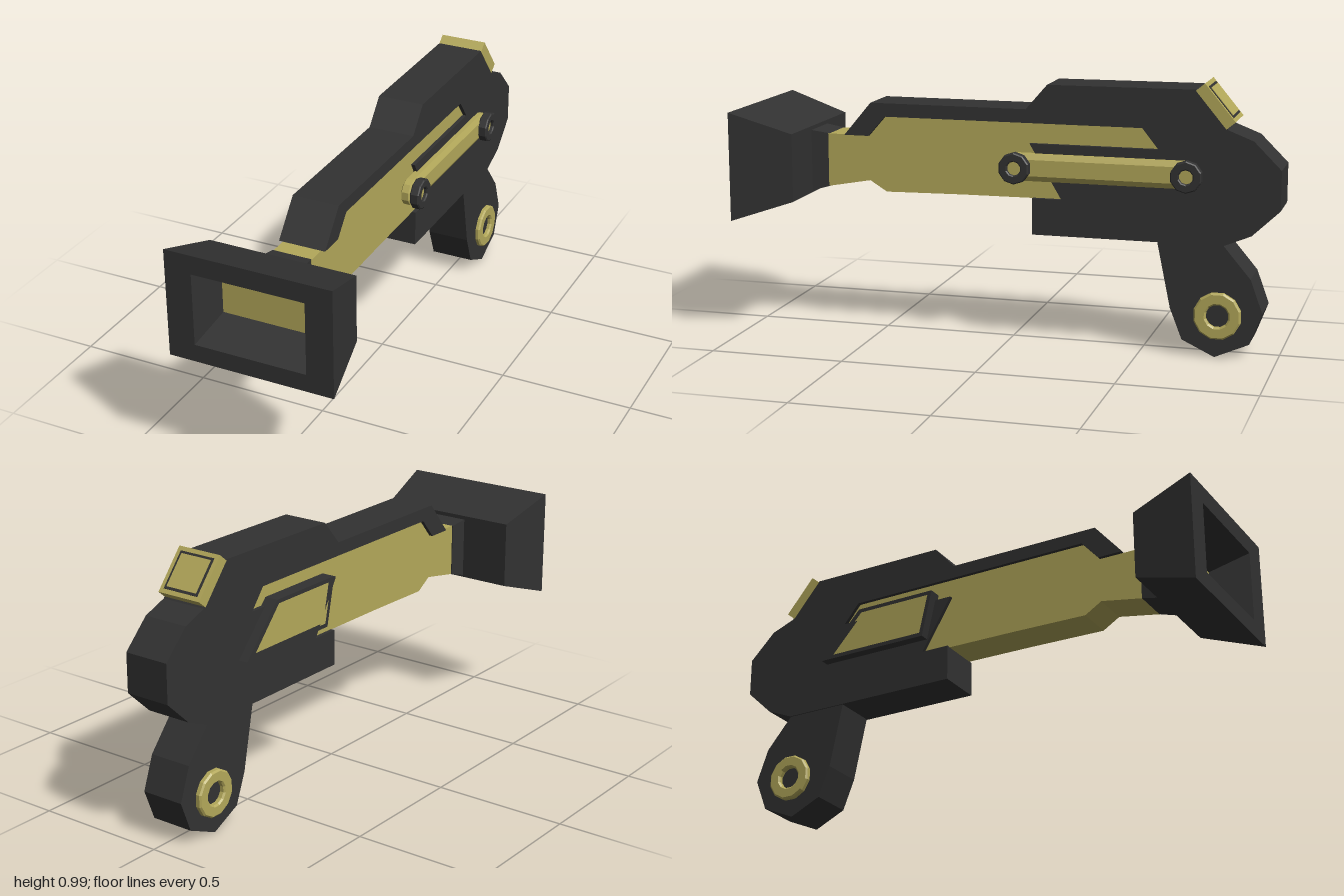
import * as THREE from 'three';

const dark = new THREE.MeshStandardMaterial({ color: 0x323232, flatShading: true });
const brass = new THREE.MeshStandardMaterial({ color: 0xb3a85a, flatShading: true });
const CX = 0.003; // body centre line

const outline = (pts) => new THREE.Shape(pts.map((p) => new THREE.Vector2(...p)));
const circle = (z, y, r, n) =>
  Array.from({ length: n }, (_, i) => {
    const a = ((i + 0.5) / n) * Math.PI * 2;
    return [z + r * Math.cos(a), y + r * Math.sin(a)];
  });

// Side profile given as (z, y) points, extruded across x from x0 to x1
function slab(pts, x0, x1, holes = [], bevel = 0, inset = bevel) {
  const shape = outline(pts);
  holes.forEach((h) => shape.holes.push(outline(h)));
  const geo = new THREE.ExtrudeGeometry(shape, {
    depth: x1 - x0 - 2 * bevel, bevelEnabled: bevel > 0, bevelThickness: bevel,
    bevelSize: inset, bevelOffset: -inset, bevelSegments: 1,
  });
  return geo.rotateY(-Math.PI / 2).translate(x1 - bevel, 0, 0);
}

// Rectangular sections [z, halfWidth, yBottom, yTop] joined in order, with end caps
function loft(sections) {
  const rings = sections.map(([z, w, a, b]) => [[-w, a, z], [w, a, z], [w, b, z], [-w, b, z]]);
  const pos = [];
  const quad = (a, b, c, d) => pos.push(...a, ...b, ...c, ...a, ...c, ...d);
  for (let s = 0; s < rings.length - 1; s++) {
    for (let i = 0; i < 4; i++) {
      const j = (i + 1) % 4;
      quad(rings[s][i], rings[s][j], rings[s + 1][j], rings[s + 1][i]);
    }
  }
  const [a, b, c, d] = rings[0];
  quad(d, c, b, a);
  quad(...rings[rings.length - 1]);
  const geo = new THREE.BufferGeometry();
  geo.setAttribute('position', new THREE.Float32BufferAttribute(pos, 3));
  geo.computeVertexNormals();
  return geo;
}

export function createModel() {
  const model = new THREE.Group();
  const add = (name, geo, mat, parent = model) => {
    const mesh = new THREE.Mesh(geo, mat);
    mesh.name = name;
    parent.add(mesh);
    return mesh;
  };

  // Dark receiver with a long notch that wraps the barrel
  add('body', slab([
    [0.63, 0.755], [0.525, 0.88], [-0.07, 0.88], [-0.15, 0.972], [-0.69, 0.975],
    [-0.81, 0.835], [-0.9, 0.8], [-1, 0.7], [-1, 0.555], [-0.9, 0.46], [-0.8, 0.418],
    [-0.095, 0.418], [-0.095, 0.553], [-0.205, 0.553], [-0.085, 0.755], [-0.56, 0.755],
    [-0.5, 0.83], [0.47, 0.83], [0.535, 0.755],
  ], CX - 0.088, CX + 0.088), dark);

  // Brass barrel core, slightly narrower than the body
  add('barrel', slab([
    [0.7, 0.755], [0.535, 0.755], [0.47, 0.835], [-0.6, 0.835], [-0.6, 0.555],
    [0.175, 0.55], [0.47, 0.545], [0.535, 0.585], [0.7, 0.555],
  ], CX - 0.073, CX + 0.073), brass);

  // Neck and flared rectangular muzzle with a recess
  add('neck', loft([[0.695, 0.073, 0.555, 0.755], [0.775, 0.082, 0.533, 0.767]]), dark);
  add('muzzle', loft([
    [0.765, 0.275, 0.528, 0.78], [1, 0.309, 0.45, 0.855],
    [1, 0.209, 0.515, 0.785], [0.845, 0.186, 0.565, 0.735],
  ]), dark);
  add('muzzlePlate', new THREE.BoxGeometry(0.37, 0.168, 0.004), brass).position.set(0, 0.65, 0.846);

  // Grip with a brass ring on each side
  add('grip', slab([
    [-0.55, 0.45], [-0.56, 0.418], [-0.61, 0.177], [-0.655, 0.062], [-0.775, 0.005],
    [-0.9, 0.06], [-0.945, 0.177], [-0.9, 0.3], [-0.8, 0.418], [-0.78, 0.45],
  ], CX - 0.083, CX + 0.083), dark);
  for (const [name, x0, x1] of [['leftGripRing', 0.08, 0.103], ['rightGripRing', -0.101, -0.074]]) {
    add(name, slab(circle(-0.784, 0.16, 0.088, 12), x0, x1, [circle(-0.784, 0.16, 0.042, 12)], 0.006), brass);
  }

  // Bevelled side rail with a ring and pin at each end
  const r = 0.05, zA = -0.04, zB = -0.67, yR = 0.67;
  const rail = [];
  for (let i = 0; i <= 5; i++) {
    const a = -Math.PI / 2 + (i / 5) * Math.PI;
    rail.push([zA + r * Math.cos(a), yR + r * Math.sin(a)]);
  }
  for (let i = 0; i <= 5; i++) {
    const a = Math.PI / 2 + (i / 5) * Math.PI;
    rail.push([zB + r * Math.cos(a), yR + r * Math.sin(a)]);
  }
  add('sideRail', slab(rail, 0.07, 0.12, [], 0.012, 0.02), brass);
  for (const z of [zA, zB]) {
    add('railRing', slab(circle(z, yR, 0.058, 10), 0.117, 0.152, [circle(z, yR, 0.026, 10)], 0.004), dark);
    add('railPin', slab(circle(z, yR, 0.027, 10), 0.11, 0.138), brass);
  }

  // Framed slanted panel on the other side
  const panel = [[-0.635, 0.6], [-0.47, 0.78], [-0.145, 0.78], [-0.185, 0.6]];
  const inner = [[-0.595, 0.615], [-0.46, 0.765], [-0.163, 0.765], [-0.197, 0.615]];
  add('panelFrame', slab(panel, -0.122, -0.07, [inner]), dark);
  add('panelInset', slab(inner, -0.112, -0.07), brass);

  // Tilted rear display
  const display = new THREE.Group();
  display.name = 'rearDisplay';
  display.position.set(CX, 0.918, -0.762);
  display.rotation.x = -0.877;
  model.add(display);
  add('displayBase', new THREE.BoxGeometry(0.178, 0.042, 0.174), brass, display);
  add('displayFrame', new THREE.BoxGeometry(0.146, 0.006, 0.142), dark, display).position.y = 0.02;
  add('displayScreen', new THREE.BoxGeometry(0.128, 0.006, 0.124), brass, display).position.y = 0.022;

  return model;
}
